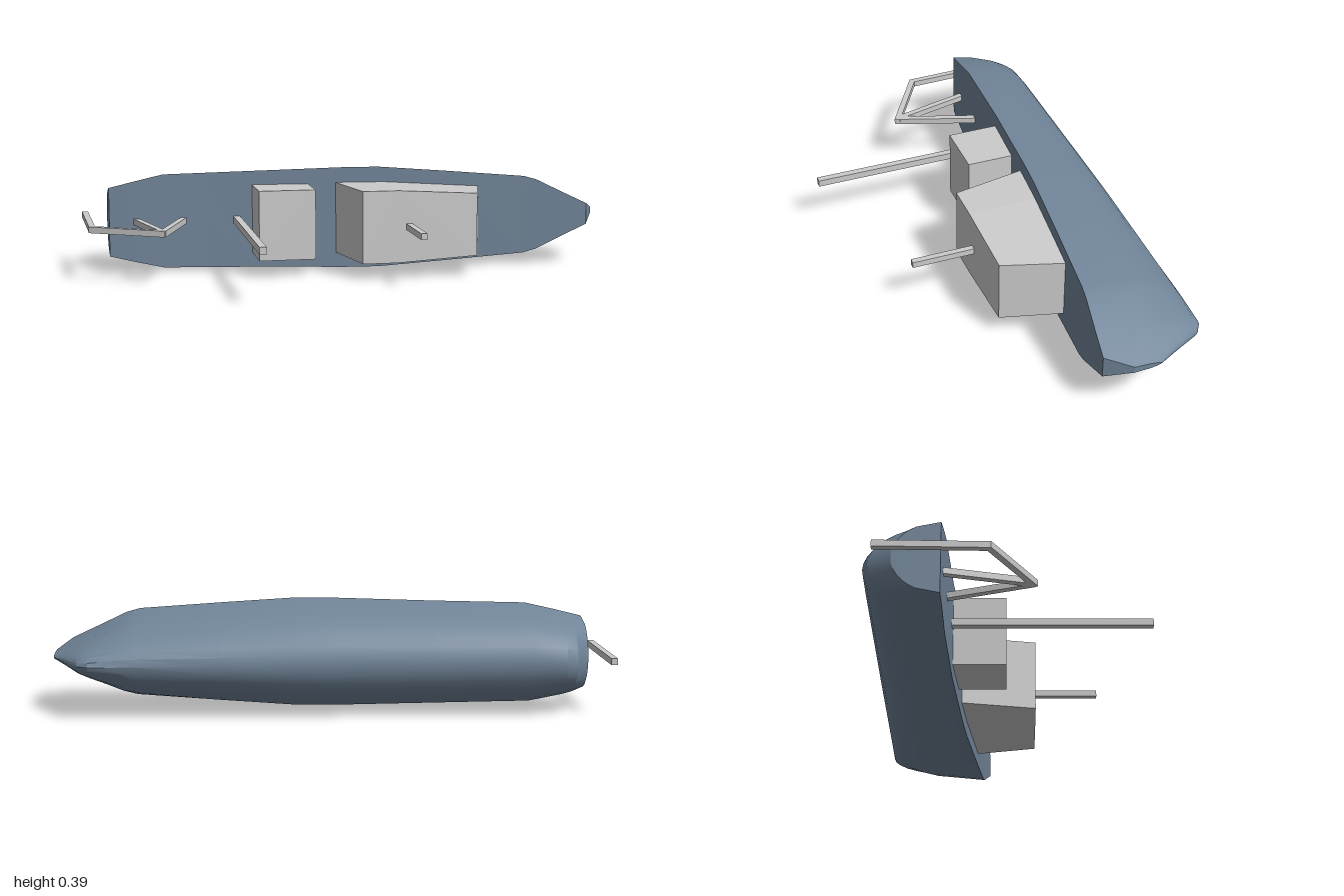
import * as THREE from 'three';
import { toCreasedNormals } from 'three/addons/utils/BufferGeometryUtils.js';
import { ConvexGeometry } from 'three/addons/geometries/ConvexGeometry.js';

const CY = 0.2; // height of the centreline; the deck faces +z and the bow +x

// Hull stations from stern to bow: x, half beam, deck z, keel z
const STATIONS = [
  [-0.905, 0.132, -0.235, -0.4], [-0.855, 0.144, -0.232, -0.48], [-0.815, 0.154, -0.23, -0.5],
  [-0.7, 0.18, -0.226, -0.5], [-0.36, 0.187, -0.212, -0.5], [0, 0.196, -0.186, -0.5],
  [0.13, 0.196, -0.175, -0.5], [0.4, 0.176, -0.15, -0.5], [0.7, 0.152, -0.121, -0.5],
  [0.75, 0.138, -0.116, -0.5], [0.86, 0.084, -0.104, -0.5], [0.9, 0.065, -0.1, -0.475],
  [0.95, 0.041, -0.095, -0.38], [1, 0.012, -0.19, -0.29],
];

// Half-ellipse sections joined into a skin; the closing edge of each section forms the deck
function hullGeometry() {
  const half = [0, 30, 40, 50, 60, 70, 80, 90];
  const angles = [...half, ...half.slice(0, -1).reverse().map(a => 180 - a)].map(THREE.MathUtils.degToRad);
  const n = angles.length;
  const pos = [];
  const index = [];
  for (const [x, w, deck, keel] of STATIONS) {
    for (const a of angles) pos.push(x, CY + w * Math.cos(a), deck + (keel - deck) * Math.sin(a));
  }
  for (let i = 0; i < STATIONS.length - 1; i++) {
    for (let j = 0; j < n; j++) {
      const k = (j + 1) % n;
      const a = i * n + j, b = a + n, c = i * n + k, d = c + n;
      index.push(a, b, c, b, d, c);
    }
  }
  // Transom and stem caps
  const last = (STATIONS.length - 1) * n;
  for (let j = 1; j < n - 1; j++) {
    index.push(0, j, j + 1);
    index.push(last, last + j + 1, last + j);
  }
  const g = new THREE.BufferGeometry();
  g.setAttribute('position', new THREE.Float32BufferAttribute(pos, 3));
  g.setIndex(index);
  return toCreasedNormals(g, 0.4);
}

export function createModel() {
  const model = new THREE.Group();
  const grey = new THREE.MeshStandardMaterial({ color: 0xcccccc });
  const blue = new THREE.MeshStandardMaterial({ color: 0x718599 });

  const add = (name, geometry, material = grey, parent = model) => {
    const mesh = new THREE.Mesh(geometry, material);
    mesh.name = name;
    parent.add(mesh);
    return mesh;
  };

  // Square bar between two points [x, z] on the centre plane
  const bar = (name, [x0, z0], [x1, z1], size = 0.023, parent = model) => {
    const length = Math.hypot(x1 - x0, z1 - z0);
    const mesh = add(name, new THREE.BoxGeometry(length, size, size), grey, parent);
    mesh.position.set((x0 + x1) / 2, CY, (z0 + z1) / 2);
    mesh.rotation.y = -Math.atan2(z1 - z0, x1 - x0);
  };

  add('hull', hullGeometry(), blue);

  // Cabin with sloping ends, narrowing towards the bow: x, half width, z
  const cabinCorners = [
    [-0.04, 0.137, -0.21], [-0.035, 0.137, -0.18], [0.015, 0.137, 0.087],
    [0.15, 0.137, -0.21], [0.15, 0.137, 0.087],
    [0.525, 0.115, -0.19], [0.52, 0.115, -0.14], [0.455, 0.119, 0.087],
  ];
  add('cabin', new ConvexGeometry(cabinCorners.flatMap(([x, w, z]) =>
    [1, -1].map(s => new THREE.Vector3(x, CY + s * w, z)))));

  // Deck hatch box
  const hatch = add('hatchHousing', new THREE.BoxGeometry(0.215, 0.265, 0.23));
  hatch.position.set(-0.252, CY + 0.001, -0.137);

  // Masts
  bar('mast', [-0.42, -0.24], [-0.42, 0.5], 0.026);
  bar('cabinMast', [0.192, 0.07], [0.192, 0.324]);

  // Stern crane: two legs, a boom and a hanging arm
  const crane = new THREE.Group();
  crane.name = 'sternCrane';
  model.add(crane);
  bar('craneLegAft', [-0.81, -0.26], [-0.727, 0.075], 0.023, crane);
  bar('craneLegForward', [-0.612, -0.26], [-0.727, 0.075], 0.023, crane);
  bar('craneBoom', [-0.717, 0.077], [-0.984, -0.078], 0.023, crane);
  bar('craneArm', [-0.977, -0.07], [-0.988, -0.457], 0.023, crane);

  return model;
}
